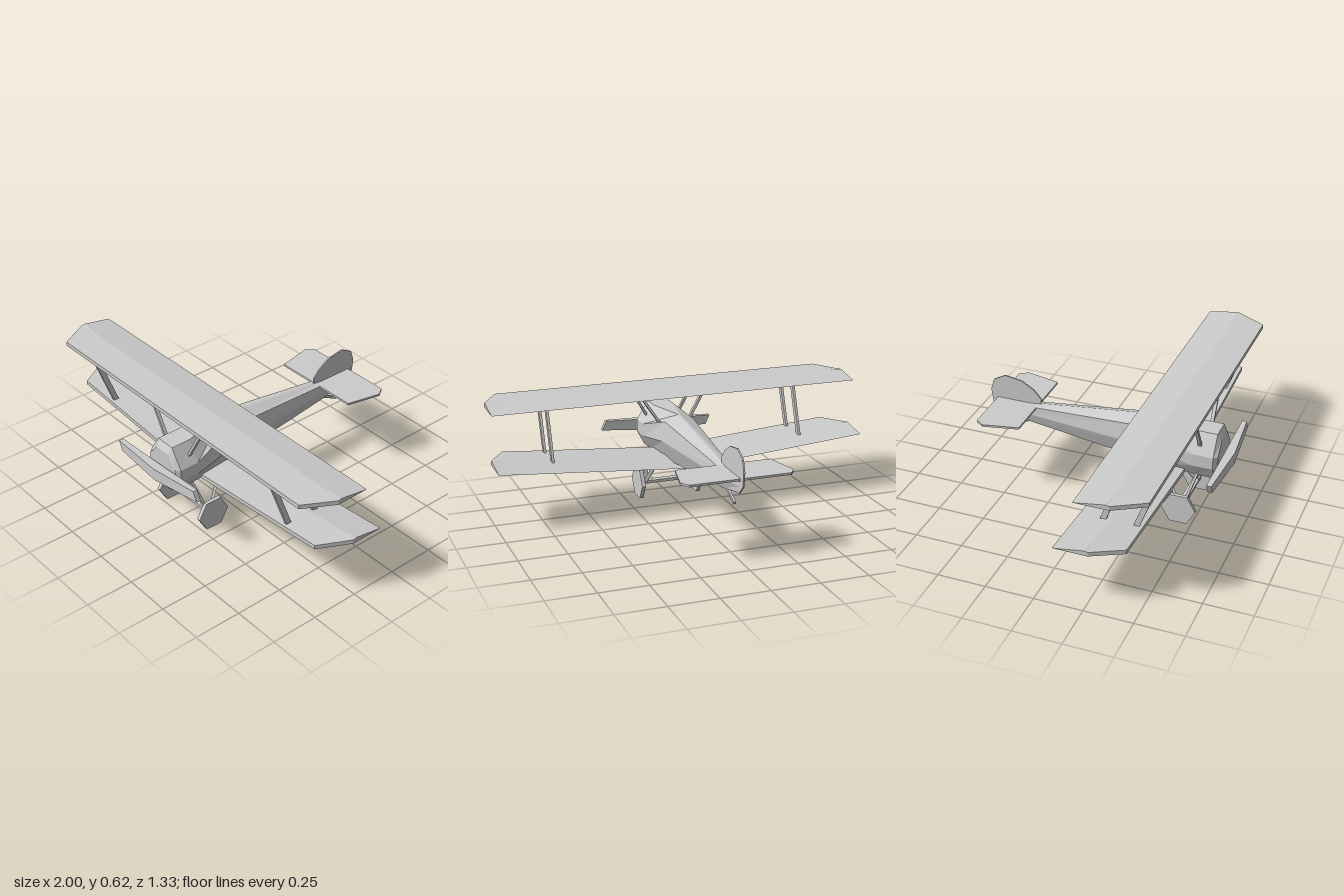
import * as THREE from 'three';

const mat = new THREE.MeshStandardMaterial({ color: 0xcccccc, flatShading: true });

function add(parent, name, geometry) {
  const mesh = new THREE.Mesh(geometry, mat);
  mesh.name = name;
  parent.add(mesh);
  return mesh;
}

// Skin a row of rings ([x, y, z] corners, counterclockwise seen from the last ring) and cap both ends
function loft(rings) {
  const n = rings[0].length;
  const pos = [];
  const tri = (a, b, c) => pos.push(...a, ...b, ...c);
  for (let k = 0; k < rings.length - 1; k++) {
    const a = rings[k], b = rings[k + 1];
    for (let i = 0; i < n; i++) {
      const j = (i + 1) % n;
      tri(a[i], a[j], b[i]);
      tri(a[j], b[j], b[i]);
    }
  }
  const first = rings[0], last = rings[rings.length - 1];
  for (let i = 1; i < n - 1; i++) {
    tri(first[0], first[i + 1], first[i]);
    tri(last[0], last[i], last[i + 1]);
  }
  const g = new THREE.BufferGeometry();
  g.setAttribute('position', new THREE.Float32BufferAttribute(pos, 3));
  g.computeVertexNormals();
  return g;
}

// Flat plate from an outline
function plate(points, depth) {
  const shape = new THREE.Shape(points.map(p => new THREE.Vector2(...p)));
  return new THREE.ExtrudeGeometry(shape, { depth, bevelEnabled: false }).translate(0, 0, -depth / 2);
}

// Straight bar between two points
function strut(parent, name, from, to, wx, wz) {
  const a = new THREE.Vector3(...from), b = new THREE.Vector3(...to);
  const d = b.clone().sub(a);
  const mesh = add(parent, name, new THREE.BoxGeometry(wx, d.length(), wz));
  mesh.position.copy(a).add(b).multiplyScalar(0.5);
  mesh.quaternion.setFromUnitVectors(new THREE.Vector3(0, 1, 0), d.normalize());
}

// Wing with clipped front corners; zBack is the trailing edge
function wing(y0, zBack, dihedral) {
  const rings = [-1, -0.91, 0, 0.91, 1].map(x => {
    const y = y0 + dihedral * Math.abs(x);
    const tip = Math.abs(x) === 1;
    const front = zBack + (tip ? 0.175 : 0.33);
    const crest = zBack + (tip ? 0.155 : 0.165);
    return [[x, y, zBack], [x, y + 0.026, crest], [x, y + 0.022, front], [x, y, front]];
  });
  return loft(rings);
}

export function createModel() {
  const model = new THREE.Group();
  model.name = 'biplane';

  // Fuselage: z, then half section as top, shoulder, side, lower corner, keel
  const stations = [
    [-0.62, [[0.002, 0.41], [0.005, 0.405], [0.006, 0.38], [0.004, 0.345], [0, 0.342]]],
    [-0.46, [[0.002, 0.418], [0.03, 0.412], [0.033, 0.37], [0.016, 0.318], [0, 0.315]]],
    [0.23, [[0.005, 0.498], [0.08, 0.466], [0.095, 0.36], [0.055, 0.25], [0, 0.245]]],
    [0.48, [[0.055, 0.488], [0.12, 0.388], [0.12, 0.32], [0.08, 0.248], [0, 0.23]]],
    [0.585, [[0.055, 0.487], [0.12, 0.385], [0.12, 0.32], [0.08, 0.243], [0, 0.218]]],
    [0.605, [[0.045, 0.45], [0.1, 0.385], [0.1, 0.32], [0.07, 0.253], [0, 0.237]]],
  ];
  add(model, 'fuselage', loft(stations.map(([z, half]) => [
    ...half.map(([x, y]) => [-x, y, z]),
    ...half.slice(0, 4).reverse().map(([x, y]) => [x, y, z]),
  ])));

  // Wings
  add(model, 'upperWing', wing(0.597, 0.205, 0));
  add(model, 'lowerWing', wing(0.24, 0.1, 0.08));

  // Tail
  const rudder = [[-0.385, 0.41], [-0.385, 0.455], [-0.425, 0.5], [-0.49, 0.54], [-0.585, 0.555],
    [-0.65, 0.52], [-0.668, 0.46], [-0.658, 0.385], [-0.61, 0.34], [-0.46, 0.318]];
  add(model, 'rudder', plate(rudder.map(([z, y]) => [-z, y]), 0.008).rotateY(Math.PI / 2));
  const stabilizer = [[-0.25, 0.4], [0.25, 0.4], [0.29, 0.585], [0.26, 0.63], [-0.26, 0.63], [-0.29, 0.585]];
  add(model, 'tailplane', plate(stabilizer, 0.011).rotateX(-Math.PI / 2).translate(0, 0.414, 0));
  strut(model, 'tailSkid', [0, 0.325, -0.44], [0, 0.27, -0.55], 0.012, 0.014);

  // Propeller, one twisted blade lying nearly level
  add(model, 'propeller', loft([
    [-0.306, 0.332, 0.025, 0.64], [0, 0.337, 0.032, 0.664], [0.297, 0.358, 0.025, 0.64],
  ].map(([x, y, h, front]) => {
    const lean = x === 0 ? 0 : 0.012;
    return [[x - lean, y + h, 0.615], [x - lean, y + h, front], [x + lean, y - h, front], [x + lean, y - h, 0.615]];
  })));

  // Struts and wheels, mirrored
  for (const s of [1, -1]) {
    const side = new THREE.Group();
    side.name = s > 0 ? 'leftStrutsAndWheel' : 'rightStrutsAndWheel';
    model.add(side);
    strut(side, 'frontWingStrut', [s * 0.69, 0.31, 0.395], [s * 0.69, 0.605, 0.505], 0.014, 0.028);
    strut(side, 'rearWingStrut', [s * 0.69, 0.31, 0.23], [s * 0.69, 0.605, 0.335], 0.014, 0.028);
    strut(side, 'frontCabaneStrut', [s * 0.09, 0.43, 0.508], [s * 0.19, 0.605, 0.508], 0.013, 0.018);
    strut(side, 'rearCabaneStrut', [s * 0.075, 0.43, 0.315], [s * 0.19, 0.605, 0.345], 0.013, 0.022);
    strut(side, 'frontGearStrut', [s * 0.075, 0.255, 0.495], [s * 0.13, 0.075, 0.44], 0.014, 0.02);
    strut(side, 'rearGearStrut', [s * 0.075, 0.265, 0.3], [s * 0.13, 0.075, 0.425], 0.014, 0.02);
    const wheel = add(side, 'wheel', new THREE.CylinderGeometry(0.091, 0.091, 0.02, 6).rotateZ(Math.PI / 2));
    wheel.position.set(s * 0.163, 0.079, 0.43);
  }
  const axle = add(model, 'axle', new THREE.BoxGeometry(0.32, 0.016, 0.035));
  axle.position.set(0, 0.077, 0.43);

  return model;
}
